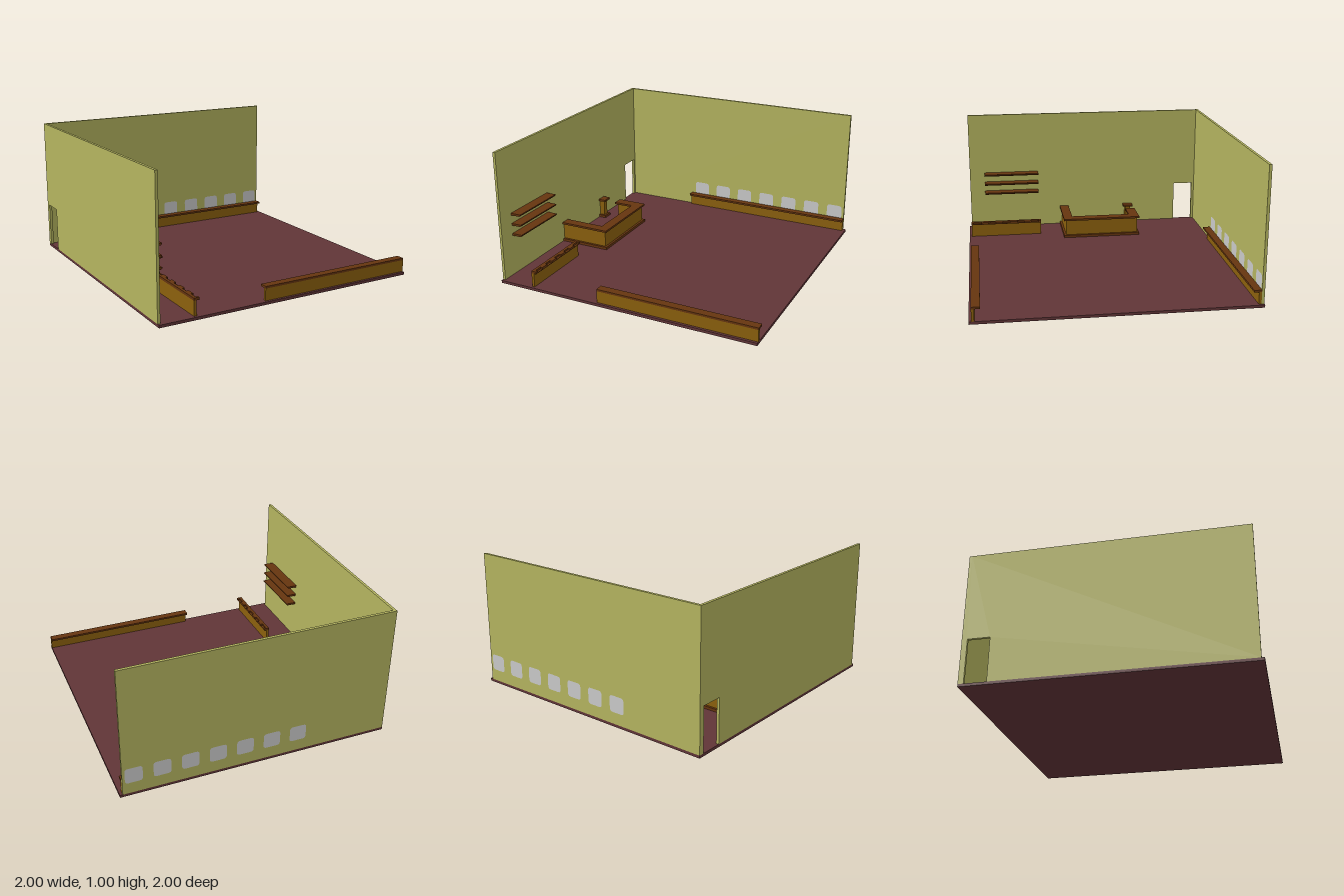
import * as THREE from 'three';

const mat = (name, color) => {
  const m = new THREE.MeshStandardMaterial({ color });
  m.name = name;
  return m;
};

export function createModel() {
  const group = new THREE.Group();
  const floorMat = mat('maroonFloor', 0x613537);
  const wallMat = mat('oliveWall', 0xb4b45f);
  const panelMat = mat('goldenWood', 0x8b600d);
  const topMat = mat('darkWood', 0x66350f);
  const glassMat = mat('paleGlass', 0xcacaca);

  const add = (name, geo, material, parent = group) => {
    const mesh = new THREE.Mesh(geo, material);
    mesh.name = name;
    parent.add(mesh);
    return mesh;
  };
  // Box given by its limits on each axis
  const box = (name, material, [x0, x1], [y0, y1], [z0, z1], parent) =>
    add(name, new THREE.BoxGeometry(x1 - x0, y1 - y0, z1 - z0)
      .translate((x0 + x1) / 2, (y0 + y1) / 2, (z0 + z1) / 2), material, parent);
  const outline = (pts) => new THREE.Shape(pts.map(([a, b]) => new THREE.Vector2(a, b)));
  const extrude = (shape, depth) =>
    new THREE.ExtrudeGeometry(shape, { depth, bevelEnabled: false, curveSegments: 4 });
  // Plan outline in (x, z) raised from y0 to y1
  const slab = (name, material, pts, y0, y1, parent) =>
    add(name, extrude(outline(pts.map(([x, z]) => [x, -z])), y1 - y0)
      .rotateX(-Math.PI / 2).translate(0, y0, 0), material, parent);

  box('floor', floorMat, [-1, 1], [0, 0.02], [-1, 1]);

  // Side wall with a doorway, drawn in (z, y)
  const sideWall = outline([
    [-0.98, 0.02], [-0.96, 0.02], [-0.96, 0.345], [-0.8, 0.345], [-0.8, 0.02],
    [0.98, 0.02], [0.98, 1], [-0.98, 1],
  ]);
  add('sideWall', extrude(sideWall, 0.02).rotateY(-Math.PI / 2).translate(-0.98, 0, 0), wallMat);

  // Back wall with a row of rounded windows, panes flush with the wall
  const roundRect = (path, cx, cy, w, h, r) => {
    const x = cx - w / 2, y = cy - h / 2;
    path.moveTo(x + r, y);
    path.lineTo(x + w - r, y);
    path.quadraticCurveTo(x + w, y, x + w, y + r);
    path.lineTo(x + w, y + h - r);
    path.quadraticCurveTo(x + w, y + h, x + w - r, y + h);
    path.lineTo(x + r, y + h);
    path.quadraticCurveTo(x, y + h, x, y + h - r);
    path.lineTo(x, y + r);
    path.quadraticCurveTo(x, y, x + r, y);
    return path;
  };
  const backWall = outline([[-1, 0.02], [0.98, 0.02], [0.98, 1], [-1, 1]]);
  for (let i = 0; i < 7; i++) {
    const spec = [-0.302 + i * 0.2, 0.165, 0.125, 0.12, 0.024];
    backWall.holes.push(roundRect(new THREE.Path(), ...spec));
    add('windowPane', extrude(roundRect(new THREE.Shape(), ...spec), 0.02).translate(0, 0, -1), glassMat);
  }
  add('backWall', extrude(backWall, 0.02).translate(0, 0, -1), wallMat);

  // Narrow counters along the back and front edges
  box('backCounterPanel', panelMat, [-0.4, 0.98], [0.02, 0.107], [-0.98, -0.96]);
  box('backCounterTop', topMat, [-0.4, 0.98], [0.107, 0.122], [-0.98, -0.925]);
  box('frontCounterPanel', panelMat, [-0.2, 1], [0.02, 0.107], [0.962, 0.982]);
  box('frontCounterTop', topMat, [-0.2, 1], [0.107, 0.122], [0.922, 0.982]);

  // Bar: hooked main part and a short stub by the wall, with plinth, panel and top
  const bar = new THREE.Group();
  bar.name = 'bar';
  group.add(bar);
  const hook = (i) => [
    [-0.98, 0.215 - i], [-0.58 - i, 0.215 - i], [-0.58 - i, -0.42 + i], [-0.82 + i, -0.42 + i],
    [-0.82 + i, -0.34 - i], [-0.66 + i, -0.34 - i], [-0.66 + i, 0.14 + i], [-0.98, 0.14 + i],
  ];
  const stub = (i) => [
    [-0.98, -0.34 - i], [-0.92 - i, -0.34 - i], [-0.92 - i, -0.42 + i], [-0.98, -0.42 + i],
  ];
  for (const [part, plan] of [['bar', hook], ['barStub', stub]]) {
    slab(part + 'Plinth', topMat, plan(0), 0.02, 0.04, bar);
    slab(part + 'Panel', panelMat, plan(0.018), 0.04, 0.165, bar);
    slab(part + 'Top', topMat, plan(0), 0.165, 0.18, bar);
  }

  // Low rack with a row of shallow notches in its top
  const rack = new THREE.Group();
  rack.name = 'rack';
  group.add(rack);
  box('rackPanel', panelMat, [-0.742, -0.722], [0.02, 0.125], [0.4, 0.98], rack);
  box('rackLedge', topMat, [-0.742, -0.702], [0.125, 0.13], [0.4, 0.98], rack);
  const comb = [[-0.742, 0.98], [-0.702, 0.98]];
  for (let i = 4; i >= 0; i--) {
    const z = 0.42 + i * 0.12;
    comb.push([-0.702, z + 0.06], [-0.72, z + 0.06], [-0.72, z], [-0.702, z]);
  }
  comb.push([-0.702, 0.4], [-0.742, 0.4]);
  slab('rackTop', topMat, comb, 0.13, 0.143, rack);

  // Three wall shelves with a chamfered lower edge
  for (const y of [0.325, 0.405, 0.485]) {
    const profile = outline([
      [-0.98, y], [-0.908, y], [-0.9, y + 0.008], [-0.9, y + 0.016], [-0.98, y + 0.016],
    ]);
    add('wallShelf', extrude(profile, 0.455).translate(0, 0, 0.402), topMat);
  }

  return group;
}
